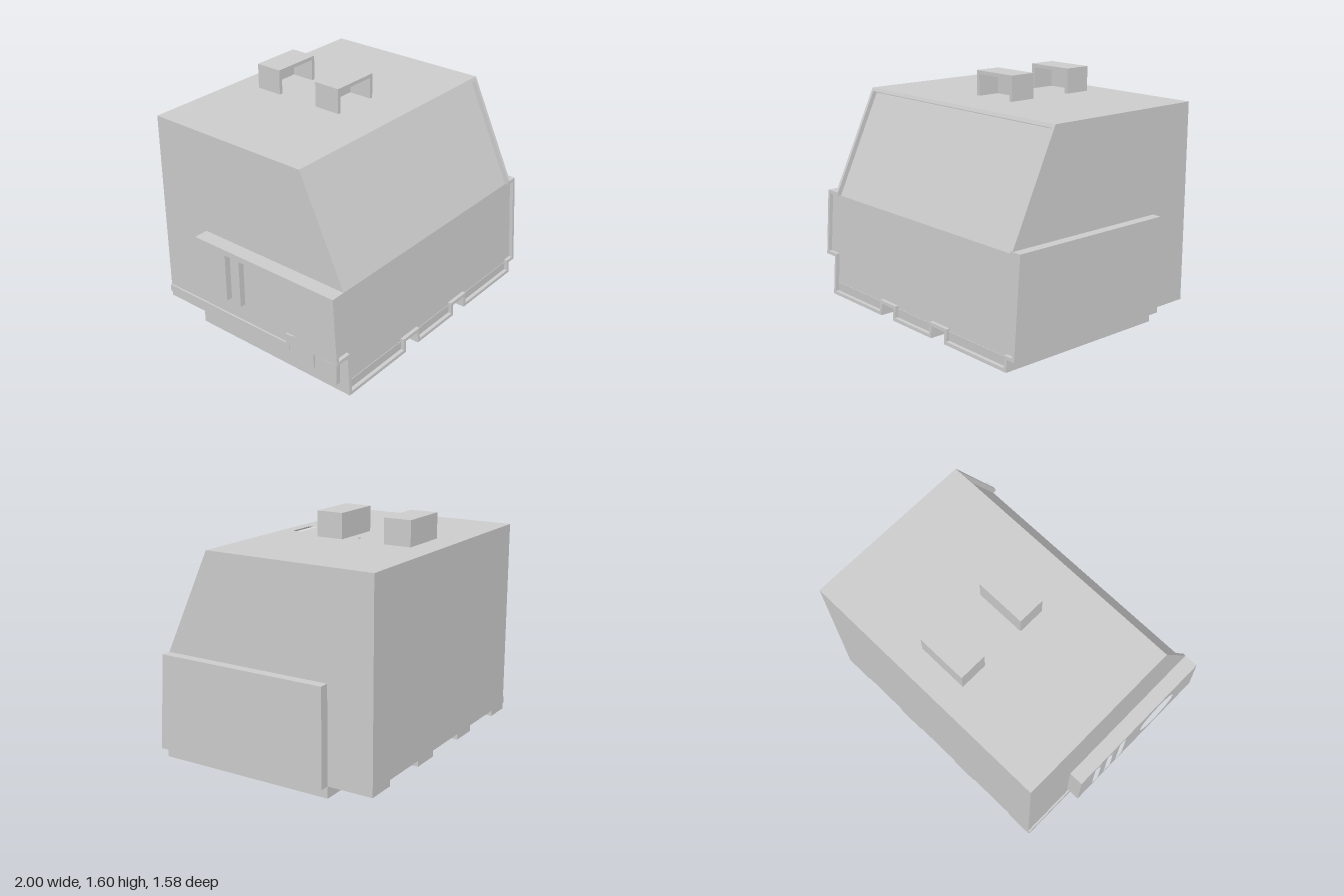
import * as THREE from 'three';

const material = new THREE.MeshStandardMaterial({ color: 0xcccccc, flatShading: true });
const V = (pts) => pts.map(([a, b]) => new THREE.Vector2(a, b));
const rect = (a0, a1, b0, b1) => [[a0, b0], [a1, b0], [a1, b1], [a0, b1]];
const flip = (pts) => pts.map(([z, y]) => [-z, y]);

function extrude(outline, depth, holes = []) {
  const shape = new THREE.Shape(V(outline));
  holes.forEach((h) => shape.holes.push(new THREE.Path(V(h))));
  return new THREE.ExtrudeGeometry(shape, { depth, bevelEnabled: false });
}
// side outline of (z, y) points, swept from x0 to x1
const extrudeX = (outline, x0, x1, holes = []) =>
  extrude(flip(outline), x1 - x0, holes.map(flip)).rotateY(Math.PI / 2).translate(x0, 0, 0);
// plan outline of (x, z) points, swept from y0 to y1
const extrudeY = (outline, y0, y1, holes = []) => {
  const turn = (pts) => pts.map(([x, z]) => [x, -z]);
  return extrude(turn(outline), y1 - y0, holes.map(turn)).rotateX(-Math.PI / 2).translate(0, y0, 0);
};
const box = (x0, x1, y0, y1, z0, z1) =>
  new THREE.BoxGeometry(x1 - x0, y1 - y0, z1 - z0)
    .translate((x0 + x1) / 2, (y0 + y1) / 2, (z0 + z1) / 2);

export function createModel() {
  const model = new THREE.Group();
  const add = (name, geometry, parent = model) => {
    const mesh = new THREE.Mesh(geometry, material);
    mesh.name = name;
    parent.add(mesh);
  };

  const L = -0.9, R = 0.935, BACK = -0.785, STEP = -0.47, TOP = 1.43;
  const lowerFront = (y) => 0.79 - 0.068 * y;
  const upperFront = (y) => 0.74 - 0.471 * (y - 0.73);

  // main body with its recessed front panel
  const profile = (top) => [
    [BACK, 0.12], [STEP, 0.12], [STEP, 0.08], [lowerFront(0.08) - 0.025, 0.08],
    [0.717, 0.705], [upperFront(top) - 0.035, top], [BACK, top],
  ];
  add('body', extrudeX(profile(1.39), L + 0.03, R - 0.03));

  // side walls with narrow vertical slots
  add('leftWall', extrudeX(profile(TOP), R - 0.03, R, [
    rect(0.335, 0.392, 0.76, 1.32), rect(-0.142, -0.085, 0.76, 1.32),
  ]));
  add('rightWall', extrudeX(profile(TOP), L, L + 0.03, [rect(-0.13, -0.08, 0.9, 1.29)]));

  // roof plate with a shallow channel in front of each hood
  const hoods = [[-0.105, 0.085], [-0.605, -0.415]];
  add('roof', extrudeY(rect(L + 0.03, R - 0.03, BACK, 0.38), 1.39, TOP,
    hoods.map(([z0, z1]) => rect(-0.08, 0.11, z0 + 0.03, z1 + 0.25))));

  // roof hoods, open towards the front
  for (const [z0, z1] of hoods) {
    const hood = new THREE.Group();
    hood.name = 'roofHood';
    const arch = [[-0.155, TOP], [-0.13, TOP], [-0.13, 1.575], [0.17, 1.575],
      [0.17, TOP], [0.195, TOP], [0.195, 1.6], [-0.155, 1.6]];
    add('hoodShell', extrude(arch, z1 - z0).translate(0, 0, z0), hood);
    add('hoodBack', box(-0.13, 0.17, TOP, 1.575, z0, z0 + 0.025), hood);
    model.add(hood);
  }

  // raised rim round the front, in a lower and an upper plane
  const lowerRim = [
    [L, 0.73], [-1, 0.73], [-1, 0.27], [L, 0.27], [L, 0], [-0.32, 0], [-0.32, 0.08],
    [-0.19, 0.08], [-0.19, 0], [0.22, 0], [0.22, 0.08], [0.35, 0.08], [0.35, 0],
    [R, 0], [R, 0.08], [1, 0.08], [1, 0.73], [R, 0.73],
    [0.913, 0.73], [0.913, 0.708], [0.978, 0.708], [0.978, 0.102], [0.913, 0.102],
    [0.913, 0.022], [0.372, 0.022], [0.372, 0.102], [0.198, 0.102], [0.198, 0.022],
    [-0.168, 0.022], [-0.168, 0.102], [-0.342, 0.102], [-0.342, 0.022], [-0.878, 0.022],
    [-0.878, 0.292], [-0.978, 0.292], [-0.978, 0.708], [-0.878, 0.708], [-0.878, 0.73],
  ];
  const upperRim = [[L, 0.73], [-0.878, 0.73], [-0.878, 1.408], [0.913, 1.408],
    [0.913, 0.73], [R, 0.73], [R, TOP], [L, TOP]];
  const lean = (geometry, front) => {
    const p = geometry.attributes.position;
    for (let i = 0; i < p.count; i++) p.setZ(i, p.getZ(i) + front(p.getY(i)));
    geometry.computeVertexNormals();
    return geometry;
  };
  add('frontRimLower', lean(extrude(lowerRim, 0.045).translate(0, 0, -0.045), lowerFront));
  add('frontRimUpper', lean(extrude(upperRim, 0.045).translate(0, 0, -0.045), upperFront));

  // side boxes, their fronts following the slope
  const sideBox = (z0, y0) => [[z0, y0], [lowerFront(y0) - 0.025, y0],
    [lowerFront(0.73) - 0.025, 0.73], [z0, 0.73]];
  add('leftSideBox', extrudeX(sideBox(STEP, 0.08), R, 1, [
    rect(0.28, 0.495, 0.13, 0.68), rect(-0.2, 0.01, 0.13, 0.68),
  ]));
  const porthole = [];
  for (let i = 0; i < 32; i++) {
    const a = (i / 32) * Math.PI * 2;
    porthole.push([0.376 + 0.165 * Math.cos(a), 0.49 + 0.165 * Math.sin(a)]);
  }
  const vents = [-0.26, -0.14, -0.02].map((z) => rect(z, z + 0.06, 0.3, 0.69));
  add('rightSideBox', extrudeX(sideBox(-0.4, 0.27), -1, L, [...vents, porthole]));

  // small fittings low on the right side
  add('rightSkirt', box(-0.912, L, 0.12, 0.17, BACK, 0.3));
  add('rightFittingFrame', extrudeX(rect(0.28, 0.51, 0.08, 0.24), -0.912, L,
    [rect(0.31, 0.48, 0.11, 0.21)]));
  add('rightLatch', extrudeX([[0.53, 0.24], [0.57, 0.1], [0.59, 0.1], [0.57, 0.24]], -0.912, L));
  add('rightHandle', extrudeX(rect(0.59, 0.71, 0.06, 0.2), -0.93, L,
    [rect(0.615, 0.685, 0.09, 0.17)]));

  // three floor blocks, each with two shallow pockets underneath
  for (const [x0, x1, cx] of [[L, -0.32, -0.6], [-0.19, 0.22, 0.02], [0.35, R, 0.62]]) {
    const block = new THREE.Group();
    block.name = 'floorBlock';
    const pockets = [0.4, -0.04].map((z) => rect(cx - 0.06, cx + 0.06, z - 0.13, z + 0.13));
    add('blockUnderside', extrudeY(rect(x0, x1, STEP, 0.763), 0, 0.03, pockets), block);
    add('blockTop', box(x0, x1, 0.03, 0.082, STEP, 0.763), block);
    model.add(block);
  }

  // low ribs between the notches under the back
  for (const [x0, x1] of [[0.73, R], [0.18, 0.38], [-0.36, -0.17], [L, -0.71]]) {
    add('rearRib', box(x0, x1, 0.08, 0.122, BACK, STEP));
  }
  return model;
}
